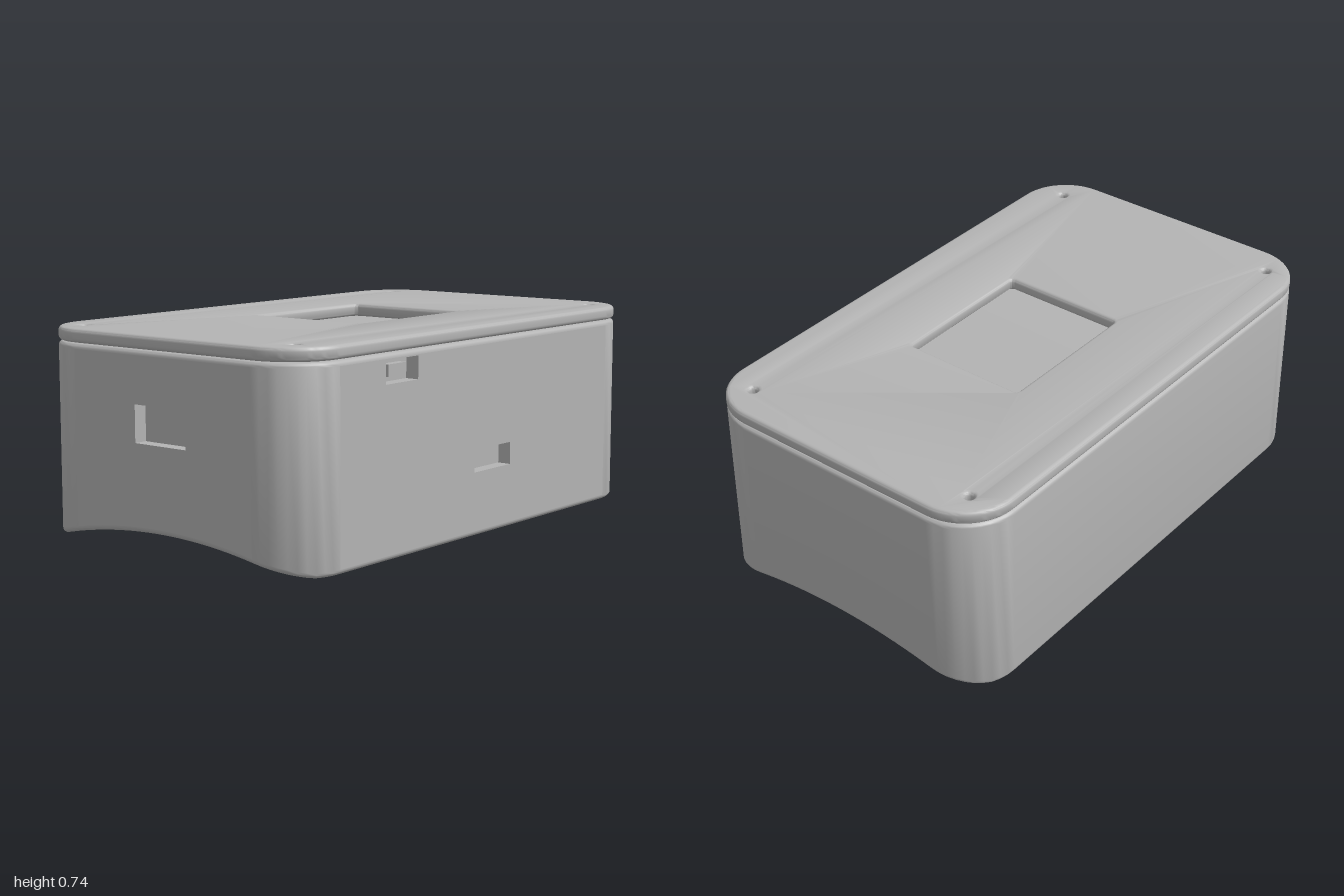
import * as THREE from 'three';
import { toCreasedNormals } from 'three/addons/utils/BufferGeometryUtils.js';

const HX = 1, HZ = 0.6, R = 0.2, FILLET = 0.018, TOP = 0.692;
const ARC = 10, SIDE = 20, HALF = ARC * 2 + SIDE + 1, N = HALF * 2;

// Height of the arched underside at a given depth
const base = (z) => 0.08 * (1 - (Math.min(Math.abs(z), 0.58) / 0.58) ** 2);

// Rounded-rectangle outline: right half back to front, then its mirror
function outline(inset) {
  const half = [];
  const corner = (sign, from) => {
    for (let i = 0; i <= ARC; i++) {
      const a = from + (i / ARC) * Math.PI / 2;
      half.push([HX - R + Math.cos(a) * (R - inset), sign * (HZ - R) + Math.sin(a) * (R - inset)]);
    }
  };
  corner(-1, -Math.PI / 2);
  for (let i = 1; i < SIDE; i++) half.push([HX - inset, (HZ - R) * (2 * i / SIDE - 1)]);
  corner(1, 0);
  return [...half, ...half.slice().reverse().map(([x, z]) => [-x, z])];
}

// Body skin: filleted rings with caps; the front and -x walls are left open
function bodyGeometry() {
  const outer = outline(0), pos = [], idx = [], steps = 5;
  const addRing = (inset, yAt) => outline(inset).forEach(([x, z], j) => pos.push(x, yAt(outer[j][1]), z));
  for (let i = 0; i <= steps; i++) {
    const a = (i / steps) * Math.PI / 2;
    addRing(FILLET * (1 - Math.sin(a)), (z) => base(z) + FILLET * (1 - Math.cos(a)));
  }
  for (let i = 0; i <= steps; i++) {
    const a = (i / steps) * Math.PI / 2;
    addRing(FILLET * (1 - Math.cos(a)), () => TOP - FILLET * (1 - Math.sin(a)));
  }
  const rings = 2 * steps + 2;
  for (let k = 0; k < rings - 1; k++) {
    for (let j = 0; j < N; j++) {
      const open = j === HALF - 1 || (j >= HALF + ARC && j < HALF + ARC + SIDE);
      if (k === steps && open) continue;
      const a = k * N + j, b = k * N + (j + 1) % N;
      idx.push(a, a + N, b + N, a, b + N, b);
    }
  }
  const t = (rings - 1) * N;
  for (let j = 0; j < HALF - 1; j++) {
    const m = N - 1 - j;
    idx.push(m, j, j + 1, m, j + 1, m - 1);
    idx.push(t + m, t + j + 1, t + j, t + m, t + m - 1, t + j + 1);
  }
  const g = new THREE.BufferGeometry();
  g.setAttribute('position', new THREE.Float32BufferAttribute(pos, 3));
  g.setIndex(idx);
  return toCreasedNormals(g, 0.6);
}

function rectPath(Type, cx, cy, w, h, r) {
  const p = new Type(), x = cx - w / 2, y = cy - h / 2;
  p.moveTo(x + r, y).lineTo(x + w - r, y);
  p.absarc(x + w - r, y + r, r, -Math.PI / 2, 0);
  p.absarc(x + w - r, y + h - r, r, 0, Math.PI / 2);
  p.absarc(x + r, y + h - r, r, Math.PI / 2, Math.PI);
  p.absarc(x + r, y + r, r, Math.PI, Math.PI * 1.5);
  return p;
}

const boxPath = (cx, cy, w, h) => new THREE.Path([
  [-1, -1], [1, -1], [1, 1], [-1, 1],
].map(([a, b]) => new THREE.Vector2(cx + a * w / 2, cy + b * h / 2)));

// Inward-facing box without its front
function recessGeometry(w, h, d) {
  const g = new THREE.BoxGeometry(w, h, d);
  const i = Array.from(g.index.array);
  i.splice(24, 6);
  g.setIndex(i);
  g.clearGroups();
  g.scale(-1, 1, 1);
  g.computeVertexNormals();
  return g;
}

export function createModel() {
  const model = new THREE.Group();
  model.name = 'enclosure';
  const grey = new THREE.MeshStandardMaterial({ color: 0xb4b4b4 });
  grey.name = 'grey plastic';
  const add = (parent, name, geometry, x = 0, y = 0, z = 0) => {
    const mesh = new THREE.Mesh(geometry, grey);
    mesh.name = name;
    mesh.position.set(x, y, z);
    parent.add(mesh);
    return mesh;
  };

  add(model, 'body', bodyGeometry());

  // Flat wall with rectangular openings and shallow recesses behind them
  const wall = (name, points, openings, dist, angle) => {
    const g = new THREE.Group();
    g.name = name;
    g.rotation.y = angle;
    const shape = new THREE.Shape(points.map(([u, v]) => new THREE.Vector2(u, v)));
    const depth = 0.05;
    for (const [cx, cy, w, h] of openings) {
      shape.holes.push(boxPath(cx, cy, w, h));
      add(g, 'portRecess', recessGeometry(w, h, depth), cx, cy, dist - depth / 2);
    }
    add(g, name + 'Panel', new THREE.ShapeGeometry(shape), 0, 0, dist);
    model.add(g);
    return g;
  };
  const top = TOP - FILLET, fx = HX - R, sz = HZ - R;
  const front = wall('frontWall',
    [[-fx, FILLET], [fx, FILLET], [fx, top], [-fx, top]],
    [[-0.4775, 0.63, 0.175, 0.08], [0.05, 0.268, 0.22, 0.08]], HZ, 0);
  add(front, 'portConnector', new THREE.BoxGeometry(0.095, 0.042, 0.03), -0.4775, 0.63, HZ - 0.036);

  const arch = [];
  for (let i = 0; i <= SIDE; i++) {
    const z = sz * (2 * i / SIDE - 1);
    arch.push([z, base(z) + FILLET]);
  }
  wall('rightWall', [...arch, [sz, top], [-sz, top]], [[0, 0.445, 0.23, 0.13]], HX, -Math.PI / 2);

  // Lid with window and four screw holes, softly rounded edges
  const bevel = 0.015;
  const lid = rectPath(THREE.Shape, 0, 0, 2 * (HX - bevel), 2 * (HZ - bevel), R - bevel);
  lid.holes.push(rectPath(THREE.Path, 0.045, 0.003, 0.6, 0.505, 0.03));
  for (const x of [-0.875, 0.875]) {
    for (const y of [-0.475, 0.48]) {
      lid.holes.push(new THREE.Path().absarc(x, y, 0.031, 0, Math.PI * 2));
    }
  }
  const lidGeo = new THREE.ExtrudeGeometry(lid, {
    depth: 0.018, bevelEnabled: true, bevelSize: bevel, bevelThickness: bevel,
    bevelSegments: 4, curveSegments: 10,
  });
  lidGeo.rotateX(-Math.PI / 2);
  add(model, 'lid', toCreasedNormals(lidGeo, 0.65), 0, 0.694 + bevel, 0);

  // Raised sensor disc and its strip on the underside
  add(model, 'sensorDisc', new THREE.CylinderGeometry(0.086, 0.086, 0.03, 40), 0.05, 0.075, 0);
  add(model, 'sensorStrip', new THREE.BoxGeometry(0.3, 0.025, 0.06), 0.2, 0.0795, 0);
  add(model, 'stripEnd', new THREE.CylinderGeometry(0.03, 0.03, 0.025, 24), 0.35, 0.0795, 0);
  add(model, 'stripPin', new THREE.CylinderGeometry(0.012, 0.012, 0.02, 16), 0.35, 0.072, 0);

  return model;
}
